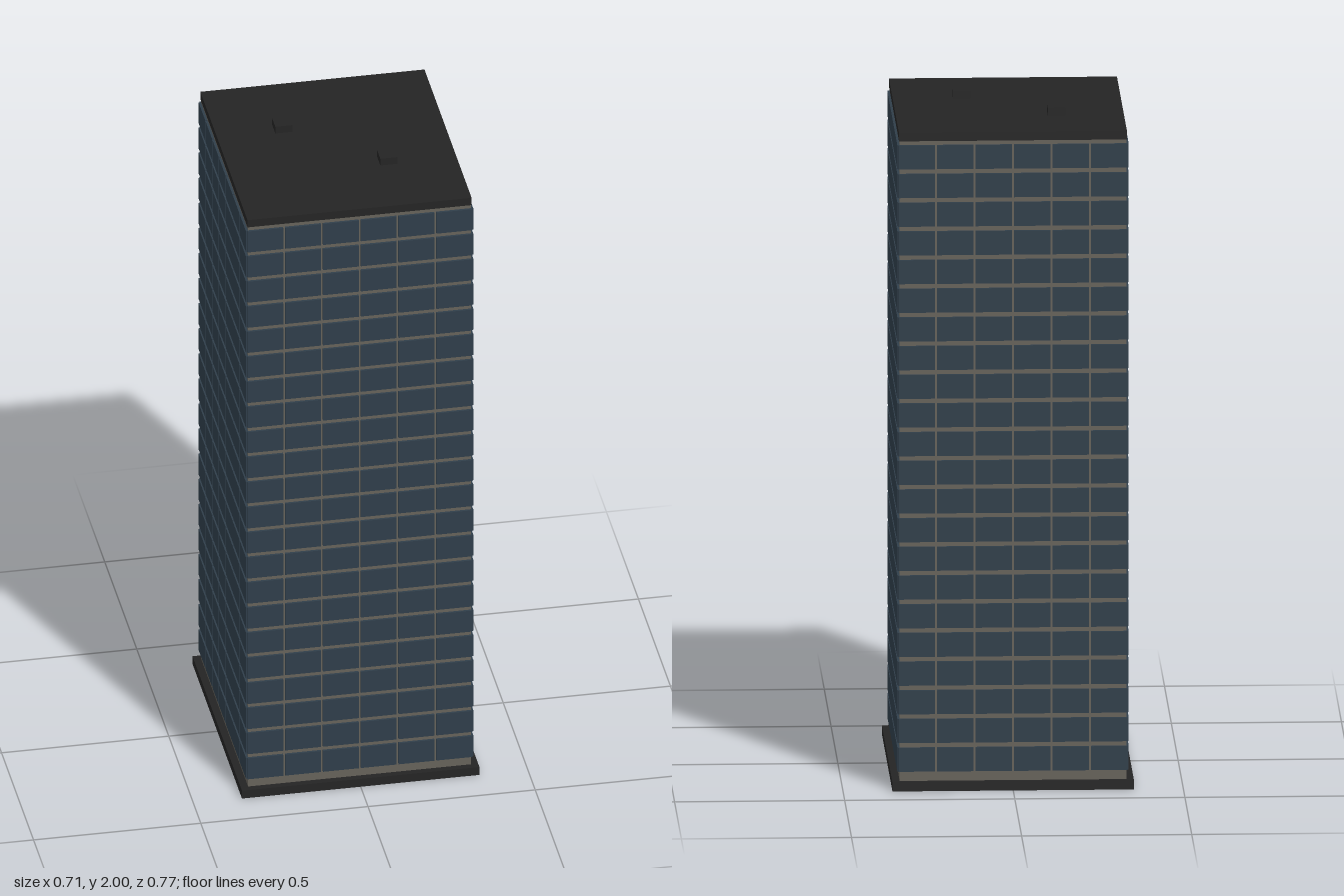
import * as THREE from 'three';
import { mergeGeometries } from 'three/addons/utils/BufferGeometryUtils.js';

const material = (name, color) => {
  const m = new THREE.MeshStandardMaterial({ color });
  m.name = name;
  return m;
};

export function createModel() {
  const tower = new THREE.Group();
  tower.name = 'officeTower';
  const dark = material('dark roofing', 0x242424);
  const concrete = material('warm grey concrete', 0x66625a);
  const glass = material('blue grey glass', 0x2f3e4a);

  const HX = 0.333, HZ = 0.366; // half sizes of the concrete core
  const ROWS = 22, FLOOR = 0.0863, FIRST = 0.092;
  const PANE_H = 0.072, GAP = 0.006, PROUD = 0.007;

  const box = (name, mat, w, h, d, x, y, z) => {
    const mesh = new THREE.Mesh(new THREE.BoxGeometry(w, h, d), mat);
    mesh.name = name;
    mesh.position.set(x, y + h / 2, z);
    tower.add(mesh);
  };

  // Plinth, core and roof slab
  box('plinth', dark, 0.71, 0.027, 0.772, 0, 0, 0);
  box('core', concrete, HX * 2, 1.925, HZ * 2, 0, 0.027, 0);
  box('roofSlab', dark, 0.67, 0.025, 0.737, 0, 1.952, 0);

  // Rooftop vents
  box('roofVentBack', dark, 0.052, 0.023, 0.052, -0.137, 1.977, -0.122);
  box('roofVentFront', dark, 0.052, 0.023, 0.052, 0.132, 1.977, 0.113);

  // Window grid for one facade, facing +z
  const windowGrid = (columns, halfWidth, depth) => {
    const pitch = (halfWidth * 2 + GAP) / columns;
    const panes = [];
    for (let r = 0; r < ROWS; r++) {
      for (let c = 0; c < columns; c++) {
        const pane = new THREE.BoxGeometry(pitch - GAP, PANE_H, PROUD);
        pane.translate((c - (columns - 1) / 2) * pitch, FIRST + r * FLOOR, depth + PROUD / 2);
        panes.push(pane);
      }
    }
    return mergeGeometries(panes);
  };

  // Opposite facades share a grid
  const wide = windowGrid(6, HX + 0.003, HZ);
  const deep = windowGrid(7, HZ + 0.003, HX);
  [['frontWindows', wide], ['leftWindows', deep], ['backWindows', wide], ['rightWindows', deep]]
    .forEach(([name, geometry], i) => {
      const mesh = new THREE.Mesh(geometry, glass);
      mesh.name = name;
      mesh.rotation.y = i * Math.PI / 2;
      tower.add(mesh);
    });

  return tower;
}
